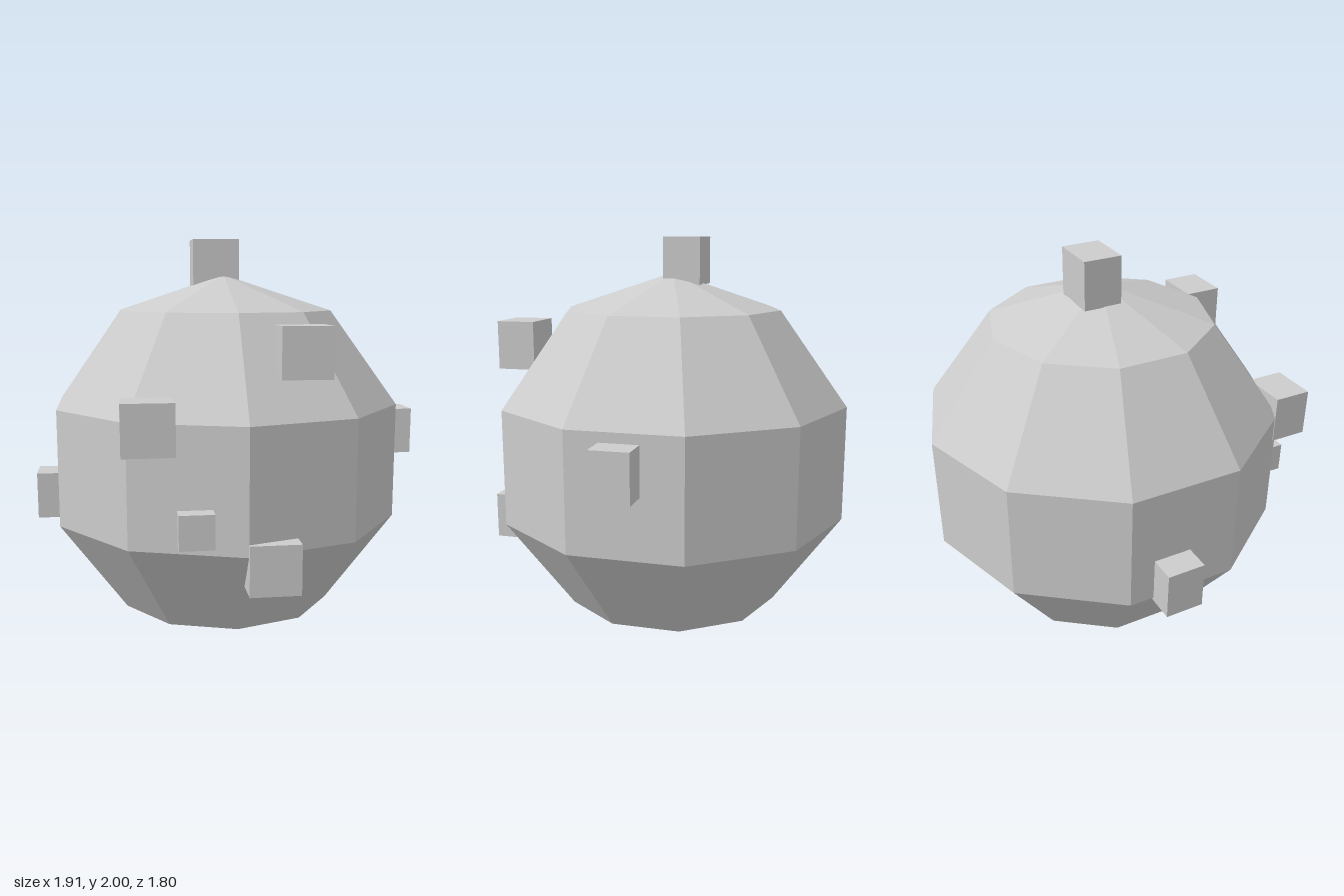
import * as THREE from 'three';

export function createModel() {
  const model = new THREE.Group();
  const grey = new THREE.MeshStandardMaterial({ color: 0xcccccc, flatShading: true });
  grey.name = 'light grey';

  // Faceted ball: ten sides, five bands, with a corner facing the front
  const ball = new THREE.Mesh(new THREE.SphereGeometry(0.913, 10, 5).rotateY(Math.PI / 2), grey);
  ball.name = 'ball';
  ball.position.set(-0.01, 0.915, -0.032);
  model.add(ball);

  // Blocks: name, centre, size
  const size = [0.228, 0.228, 0.182];
  const blocks = [
    ['topBlock', [-0.049, 1.886, -0.094], size],
    ['upperFrontBlock', [0.256, 1.491, 0.643], size],
    ['rightFrontBlock', [-0.43, 1.187, 0.734], size],
    ['smallFrontBlock', [-0.238, 0.77, 0.861], [0.152, 0.152, 0.078]],
    ['lowerFrontBlock', [0.103, 0.576, 0.765], size],
    ['leftSideBlock', [0.838, 1.036, -0.014], size],
    ['rightSideBlock', [-0.843, 0.73, -0.092], size],
  ];
  for (const [name, centre, dims] of blocks) {
    const block = new THREE.Mesh(new THREE.BoxGeometry(...dims), grey);
    block.name = name;
    block.position.set(...centre);
    model.add(block);
  }
  return model;
}
